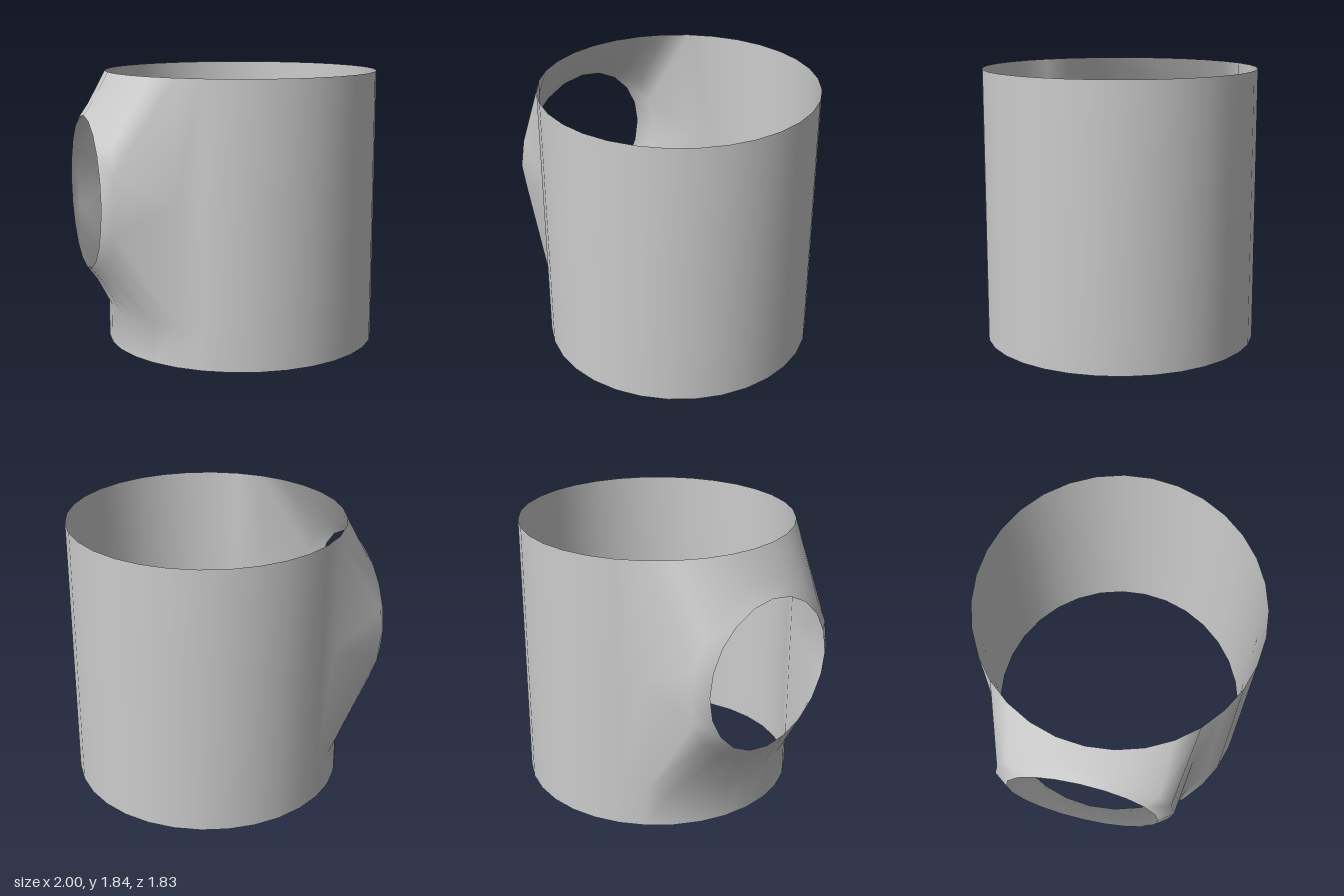
import * as THREE from 'three';

const SIDES = 32, RADIUS = 0.917, CENTRE_X = 0.083;
const ROWS = [0, 0.265, 1.05, 1.835];
const PORT_SIDES = 20, PORT_Y = 1.05;
const PORT_RINGS = [[-0.932, 0.6], [-1, 0.507]]; // x, radius

export function createModel() {
  const grey = new THREE.MeshStandardMaterial({ color: 0xcccccc, side: THREE.DoubleSide });
  grey.name = 'plain grey';

  // Shared points: sleeve rows (angle measured from -x), then the port rings
  const points = [];
  for (const y of ROWS) {
    for (let k = 0; k < SIDES; k++) {
      const a = (k / SIDES) * Math.PI * 2;
      points.push(CENTRE_X - RADIUS * Math.cos(a), y, RADIUS * Math.sin(a));
    }
  }
  for (const [x, r] of PORT_RINGS) {
    for (let t = 0; t < PORT_SIDES; t++) {
      const a = (t / PORT_SIDES) * Math.PI * 2;
      points.push(x, PORT_Y + r * Math.cos(a), r * Math.sin(a));
    }
  }
  const sleevePoint = (row, k) => row * SIDES + (k + SIDES) % SIDES;
  const ringPoint = (ring, t) => ROWS.length * SIDES + ring * PORT_SIDES + t % PORT_SIDES;

  // Open sleeve with a rectangular gap, four columns either side of -x
  const sleeveFaces = [];
  for (let row = 0; row < ROWS.length - 1; row++) {
    for (let k = -SIDES / 2; k < SIDES / 2; k++) {
      if (row > 0 && k >= -4 && k < 4) continue;
      const a = sleevePoint(row, k), b = sleevePoint(row, k + 1);
      const c = sleevePoint(row + 1, k + 1), d = sleevePoint(row + 1, k);
      sleeveFaces.push(a, b, c, a, c, d);
    }
  }

  // Edge of the gap, from the top middle round towards +z
  const gapPoint = (i) => {
    const t = i % PORT_SIDES;
    if (t <= 4) return sleevePoint(3, t);
    if (t === 5) return sleevePoint(2, 4);
    if (t <= 14) return sleevePoint(1, 10 - t);
    if (t === 15) return sleevePoint(2, -4);
    return sleevePoint(3, t - PORT_SIDES);
  };

  // Bridge two loops, with diagonals mirrored in each quarter
  const bridge = (outer, inner) => {
    const faces = [];
    for (let t = 0; t < PORT_SIDES; t++) {
      const a = outer(t), b = outer(t + 1), c = inner(t + 1), d = inner(t);
      if (t % 10 < 5) faces.push(a, d, b, d, c, b);
      else faces.push(a, d, c, a, c, b);
    }
    return faces;
  };
  const flareFaces = bridge(gapPoint, (t) => ringPoint(0, t));
  const lipFaces = bridge((t) => ringPoint(0, t), (t) => ringPoint(1, t));

  // Normals run smoothly across all parts
  const whole = new THREE.BufferGeometry();
  whole.setAttribute('position', new THREE.Float32BufferAttribute(points, 3));
  whole.setIndex([...sleeveFaces, ...flareFaces, ...lipFaces]);
  whole.computeVertexNormals();

  const group = new THREE.Group();
  group.name = 'sleeveWithSidePort';
  const addPart = (name, faces) => {
    const geometry = whole.clone();
    geometry.setIndex(faces);
    const mesh = new THREE.Mesh(geometry, grey);
    mesh.name = name;
    group.add(mesh);
  };
  addPart('sleeve', sleeveFaces);
  addPart('portFlare', flareFaces);
  addPart('portLip', lipFaces);
  return group;
}
